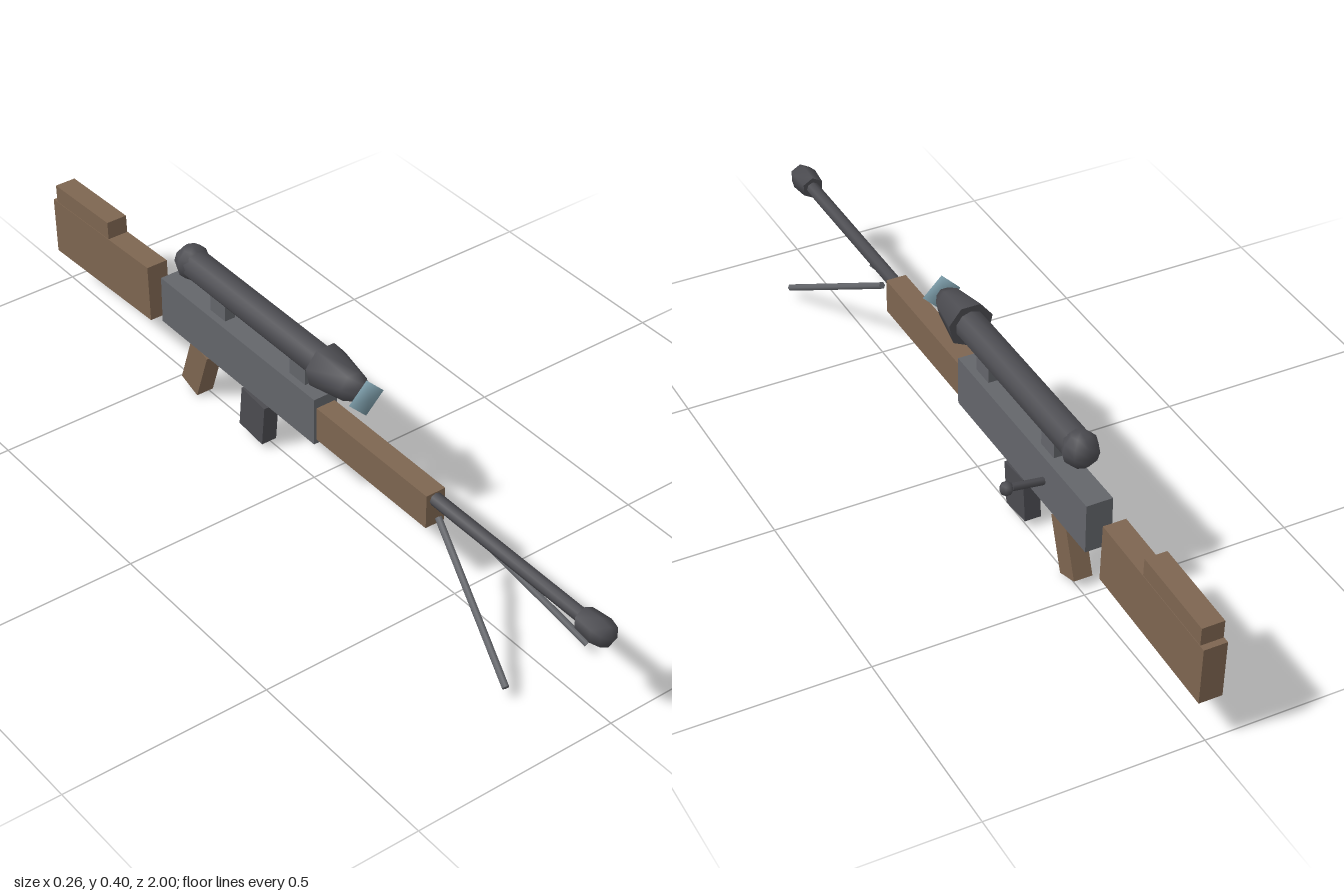
import * as THREE from 'three';
import { toCreasedNormals } from 'three/addons/utils/BufferGeometryUtils.js';

const mat = (color) => new THREE.MeshStandardMaterial({ color });

export function createModel() {
  const model = new THREE.Group();
  model.name = 'rifle';
  const body = new THREE.Group();
  body.name = 'rifleBody';
  body.position.x = -0.0115;
  model.add(body);

  const wood = mat(0x7d6550);
  const steel = mat(0x63656a);
  const dark = mat(0x4b4b50);
  const glass = mat(0x7fa0ad);

  const add = (name, geometry, material, x = 0, y = 0, z = 0, tilt = 0) => {
    const mesh = new THREE.Mesh(geometry, material);
    mesh.name = name;
    mesh.position.set(x, y, z);
    mesh.rotation.x = tilt;
    body.add(mesh);
    return mesh;
  };
  const box = (name, material, w, h, d, y, z, tilt = 0) =>
    add(name, new THREE.BoxGeometry(w, h, d), material, 0, y, z, tilt);

  // Turned part along z, from [radius, z] pairs
  const turned = (name, material, profile, sides, y) => {
    const points = profile.map(([r, z]) => new THREE.Vector2(r, z));
    const geometry = new THREE.LatheGeometry(points, sides).rotateX(Math.PI / 2);
    return add(name, toCreasedNormals(geometry, 1.2), material, 0, y, 0);
  };

  // Straight rod between two points
  const rod = (name, material, a, b, r) => {
    const from = new THREE.Vector3(...a);
    const to = new THREE.Vector3(...b);
    const dir = to.clone().sub(from);
    const mesh = add(name, new THREE.CylinderGeometry(r, r, dir.length(), 6), material);
    mesh.position.copy(from).add(to).multiplyScalar(0.5);
    mesh.quaternion.setFromUnitVectors(new THREE.Vector3(0, 1, 0), dir.normalize());
    return mesh;
  };

  // Receiver, magazine and wooden furniture
  box('receiver', steel, 0.063, 0.122, 0.589, 0.211, -0.238);
  box('handguard', wood, 0.05, 0.086, 0.386, 0.204, 0.247);
  box('magazine', dark, 0.04, 0.108, 0.088, 0.07, -0.195, 0.1);
  box('grip', wood, 0.045, 0.137, 0.065, 0.076, -0.42, 0.33);
  box('stock', wood, 0.055, 0.145, 0.405, 0.182, -0.794, -0.045);
  box('cheekRest', wood, 0.053, 0.05, 0.225, 0.271, -0.873, -0.045);

  // Barrel and muzzle
  turned('barrel', dark, [[0, 0.43], [0.016, 0.43], [0.016, 0.92], [0, 0.92]], 8, 0.229);
  turned('muzzle', dark,
    [[0, 0.91], [0.028, 0.91], [0.033, 0.96], [0.027, 0.985], [0, 0.998]], 6, 0.229);

  // Scope on two mounts
  turned('scopeTube', dark, [[0, -0.44], [0.037, -0.44], [0.037, 0.07], [0, 0.07]], 10, 0.352);
  turned('scopeBell', dark,
    [[0, 0.055], [0.055, 0.055], [0.037, 0.155], [0.02, 0.187], [0, 0.187]], 7, 0.352);
  add('eyepiece', new THREE.SphereGeometry(0.043, 8, 6), dark, 0, 0.352, -0.445);
  const lens = add('lens', new THREE.SphereGeometry(0.047, 4, 2), glass, 0, 0.35, 0.2);
  lens.scale.z = 0.2;
  for (const z of [-0.028, -0.33]) box('scopeMount', steel, 0.028, 0.06, 0.057, 0.298, z);

  // Bolt handle
  rod('boltHandle', dark, [0.036, 0.217, -0.355], [0.112, 0.227, -0.355], 0.009);
  add('boltKnob', new THREE.SphereGeometry(0.0165, 6, 4), dark, 0.125, 0.228, -0.355);

  // Bipod
  for (const s of [-1, 1]) {
    rod('bipodLeg', steel, [s * 0.02, 0.21, 0.475], [s * 0.111, 0.028, 0.813], 0.0085);
  }
  return model;
}
